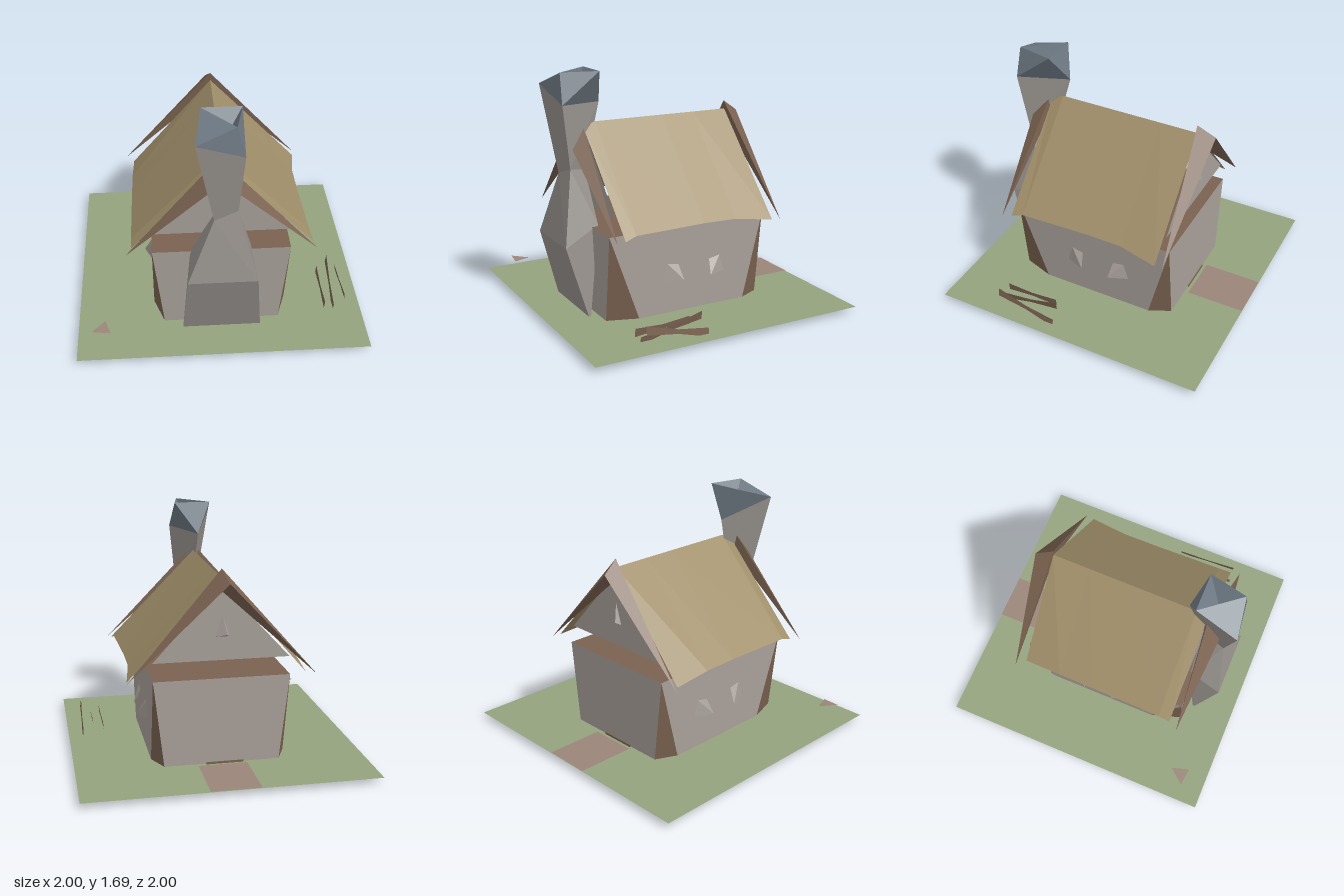
import * as THREE from 'three';
import { ConvexGeometry } from 'three/addons/geometries/ConvexGeometry.js';

const COLORS = {
  grass: 0x93a27d, path: 0x9a8578, wall: 0xa79f99, timber: 0x7a6250,
  thatch: 0xa08e69, stone: 0x97928d, slate: 0x6f7a84,
};

const add = (group, name, geometry, color) => {
  const material = new THREE.MeshStandardMaterial({ color, flatShading: true, side: THREE.DoubleSide });
  const mesh = new THREE.Mesh(geometry, material);
  mesh.name = name;
  group.add(mesh);
  return mesh;
};

// Flat facets from polygons, each a list of [x, y, z] corners
function facets(polygons) {
  const pos = [];
  for (const p of polygons) {
    for (let i = 1; i < p.length - 1; i++) pos.push(...p[0], ...p[i], ...p[i + 1]);
  }
  const g = new THREE.BufferGeometry();
  g.setAttribute('position', new THREE.Float32BufferAttribute(pos, 3));
  g.computeVertexNormals();
  return g;
}

const hull = (points) => new ConvexGeometry(points.map((p) => new THREE.Vector3(...p)));

export function createModel() {
  const model = new THREE.Group();

  // Ground and path behind the house
  add(model, 'ground', new THREE.PlaneGeometry(2, 2).rotateX(-Math.PI / 2).translate(0, 0.04, 0), COLORS.grass);
  add(model, 'path', new THREE.PlaneGeometry(0.34, 0.42).rotateX(-Math.PI / 2).translate(0, 0.045, -0.79), COLORS.path);
  add(model, 'doorstep', new THREE.BoxGeometry(0.26, 0.04, 0.05).translate(-0.02, 0.035, -0.53), COLORS.timber);

  // House body: walls narrow downwards, triangular timber posts fill the corners
  const zEnd = (s) => (s > 0 ? 0.645 : -0.55);
  const top = (sx, sz) => [sx * 0.47, 0.65, zEnd(sz)];
  const endFoot = (sx, sz) => [sx * 0.4, 0.045, zEnd(sz)];
  const sideFoot = (sx, sz) => [sx * 0.47, 0.045, sz > 0 ? 0.43 : -0.4];
  const walls = [];
  const posts = [];
  for (const s of [-1, 1]) {
    walls.push([top(-s, s), endFoot(-s, s), endFoot(s, s), top(s, s)]);
    walls.push([top(s, s), sideFoot(s, s), sideFoot(s, -s), top(s, -s)]);
    for (const t of [-1, 1]) {
      const post = [top(s, t), endFoot(s, t), sideFoot(s, t)];
      posts.push(s * t > 0 ? post.reverse() : post);
    }
  }
  add(model, 'walls', facets(walls), COLORS.wall);
  add(model, 'cornerPosts', facets(posts), COLORS.timber);
  add(model, 'atticFloor', facets([[top(-1, 1), top(1, 1), top(1, -1), top(-1, -1)]]), COLORS.timber);

  // Side windows: small slanted wedges
  for (const s of [-1, 1]) {
    for (const z of [0.18, -0.17]) {
      const w = z > 0 ? 1 : -1;
      add(model, 'sideWindow', hull([
        [s * 0.46, 0.42, z + w * 0.05], [s * 0.46, 0.4, z - w * 0.05],
        [s * 0.465, 0.28, z + w * 0.08], [s * 0.525, 0.28, z - w * 0.07],
      ]), COLORS.wall);
    }
  }

  // Gable walls and the attic window at the back
  for (const z of [0.6, -0.525]) {
    const s = Math.sign(z);
    add(model, 'gableWall', facets([[[-s * 0.47, 0.77, z], [s * 0.47, 0.77, z], [0, 1.28, z]]]), COLORS.wall);
  }
  add(model, 'atticWindow', hull([
    [0, 1.1, -0.52], [0.055, 0.93, -0.52], [-0.055, 0.93, -0.52], [-0.03, 0.95, -0.56],
  ]), COLORS.wall);

  // Roof: stations along z as [z, ridge height, left x, right x, eave height]
  const stations = [
    [0.605, 1.3, -0.61, 0.63, 0.66], [0.52, 1.33, -0.608, 0.615, 0.685], [0, 1.33, -0.603, 0.6, 0.69],
    [-0.25, 1.33, -0.6, 0.6, 0.685], [-0.52, 1.33, -0.59, 0.64, 0.65],
  ];
  const roof = [];
  for (let i = 0; i < stations.length - 1; i++) {
    const [a, b] = [stations[i], stations[i + 1]];
    const ridge = (q) => [0, q[1], q[0]];
    const eave = (q, k) => [q[k], q[4], q[0]];
    roof.push([ridge(a), eave(a, 3), eave(b, 3), ridge(b)]);
    roof.push([ridge(b), eave(b, 2), eave(a, 2), ridge(a)]);
  }
  add(model, 'roof', facets(roof), COLORS.thatch);

  // Gable boards: three-sided section at the peak, tapering to a point at each eave
  const bargeBoards = (tipZ, peak) => {
    const polygons = [];
    for (const s of [-1, 1]) {
      const tip = [s * 0.65, 0.65, tipZ];
      peak.forEach((p, i) => {
        const q = peak[(i + 1) % 3];
        polygons.push(s > 0 ? [p, q, tip] : [q, p, tip]);
      });
    }
    add(model, 'gableBoards', facets(polygons), COLORS.timber);
  };
  bargeBoards(0.67, [[-0.02, 1.36, 0.615], [0, 1.25, 0.735], [0, 1.23, 0.605]]);
  bargeBoards(-0.58, [[0, 1.39, -0.515], [0, 1.24, -0.525], [-0.03, 1.31, -0.64]]);

  // Chimney: broad wedge base, narrow neck, flared shaft
  const neck = [[-0.06, 0.985, 0.77], [0.1, 1.04, 0.75], [0, 1.0, 0.6]];
  const rim = [[-0.18, 1.59, 0.845], [0.135, 1.48, 0.81], [-0.03, 1.46, 0.475]];
  add(model, 'chimneyBase', hull([
    [-0.275, 0, 0.7], [0.27, 0, 0.7], [-0.24, 0.535, 0.85], [0.23, 0.535, 0.85],
    [-0.21, 0.64, 0.61], [0.2, 0.66, 0.6], ...neck,
  ]), COLORS.stone);
  const shaft = rim.map((r, i) => {
    const j = (i + 1) % 3;
    return [neck[i], neck[j], rim[j], r];
  });
  add(model, 'chimneyShaft', facets(shaft), COLORS.stone);

  // Chimney cap: twisted triangular band with a sunken flue
  const crown = [[0.08, 1.69, 0.8], [0.135, 1.69, 0.54], [-0.13, 1.69, 0.54]];
  const flue = [0.01, 1.52, 0.66];
  const cap = [];
  for (let i = 0; i < 3; i++) {
    const j = (i + 1) % 3;
    cap.push([rim[i], rim[j], crown[i]], [crown[i], rim[j], crown[j]], [crown[i], crown[j], flue]);
  }
  add(model, 'chimneyCap', facets(cap), COLORS.slate);

  // Leaning planks, pinched in the middle: [bottom x, top x, near z, far z, near y, far y]
  const planks = [
    [0.735, 0.75, 0.6, 0.2, 0.05, 0.06], [0.8, 0.825, 0.595, 0.15, 0.015, 0.115], [0.905, 0.88, 0.59, 0.14, 0.115, 0.02],
  ];
  for (const [xb, xt, z0, z1, y0, y1] of planks) {
    const at = (z, y) => [xb + (xt - xb) * (y / 0.17), y, z];
    const zm = (z0 + z1) / 2;
    const ym = (y0 + y1) / 2;
    add(model, 'plank', facets([
      [at(z0, y0), at(zm, ym + 0.015), at(zm, ym + 0.045), at(z0, y0 + 0.06)],
      [at(zm, ym + 0.015), at(z1, y1), at(z1, y1 + 0.06), at(zm, ym + 0.045)],
    ]), COLORS.timber);
  }

  // Small hovering board scrap
  add(model, 'boardScrap', facets([[[-0.81, 0.14, 0.73], [-0.9, 0.146, 0.84], [-0.77, 0.14, 0.855]]]), COLORS.path);

  return model;
}
